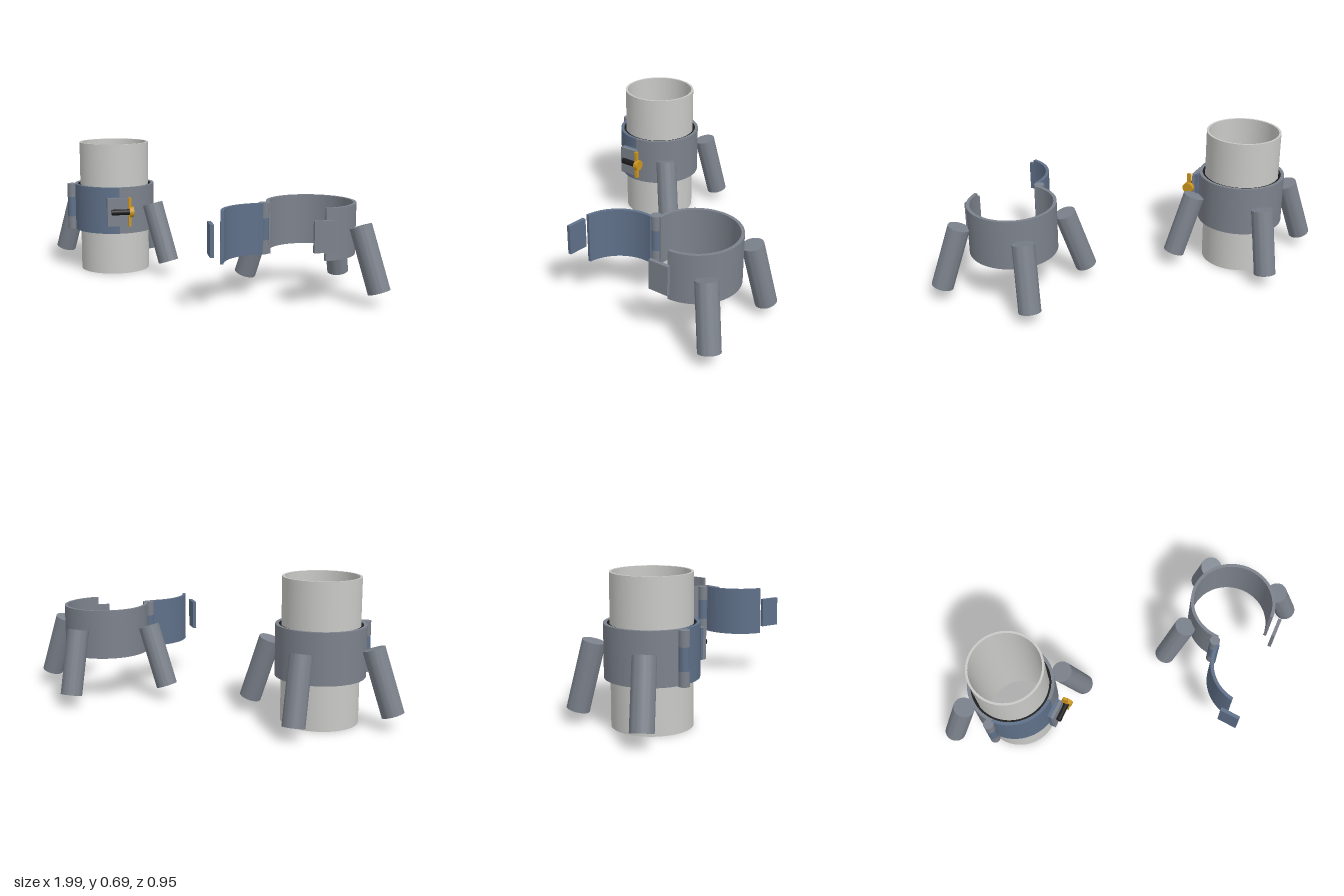
import * as THREE from 'three';
import { toCreasedNormals } from 'three/addons/utils/BufferGeometryUtils.js';

const mat = (name, color, side = THREE.FrontSide) =>
  Object.assign(new THREE.MeshStandardMaterial({ color, side }), { name });
const steel = mat('steel grey', 0x7c828c);
const blue = mat('door blue', 0x5f7089);
const pale = mat('pipe grey', 0xc9c9c7);
const black = mat('rubber black', 0x1b1b1b);
const gold = mat('brass', 0xcc961f);

const RO = 0.213, RI = 0.197, Y0 = 0.222, Y1 = 0.467, MID = 0.344;
const HINGE = new THREE.Vector3(-0.167, 0, 0.157);
const deg = Math.PI / 180;

function add(parent, name, geometry, material, x = 0, y = 0, z = 0) {
  const mesh = new THREE.Mesh(geometry, material);
  mesh.name = name;
  mesh.position.set(x, y, z);
  parent.add(mesh);
  return mesh;
}

// Curved band between two angles, standing on its base
function band(ri, ro, a0, a1, height) {
  const shape = new THREE.Shape();
  shape.absarc(0, 0, ro, a0 * deg, a1 * deg, false);
  shape.absarc(0, 0, ri, a1 * deg, a0 * deg, true);
  shape.closePath();
  const g = new THREE.ExtrudeGeometry(shape, { depth: height, bevelEnabled: false, curveSegments: 48 });
  g.rotateX(-Math.PI / 2);
  return toCreasedNormals(g, 0.6);
}

// Revolved profile with crisp corners
function turned(points, segments = 40) {
  const g = new THREE.LatheGeometry(points.map(p => new THREE.Vector2(...p)), segments);
  return toCreasedNormals(g, 0.6);
}

const ring = (ri, ro, y0, y1) => turned([[ri, y1], [ri, y0], [ro, y0], [ro, y1], [ri, y1]], 64);

// Splayed tube, open at the lower end; heading is the outward direction
function addLeg(parent, name, heading, top, bottom) {
  const t = new THREE.Vector3(heading[0] * top[0], top[1], heading[1] * top[0]);
  const b = new THREE.Vector3(heading[0] * bottom[0], bottom[1], heading[1] * bottom[0]);
  const h = t.distanceTo(b), r = 0.053, ri = 0.038;
  const g = turned([[0, h - 0.015], [ri, h - 0.015], [ri, 0], [r, 0], [r, h], [0, h]], 32);
  const leg = add(parent, name, g, steel, b.x, b.y, b.z);
  leg.quaternion.setFromUnitVectors(new THREE.Vector3(0, 1, 0), t.sub(b).normalize());
}

function addPlate(parent, name, material, x, z, angle) {
  add(parent, name, new THREE.BoxGeometry(0.1, 0.147, 0.018), material, x, MID, z).rotation.y = angle * deg;
}

// Collar with three legs and a hinged door
function makeClamp(name, doorAngle, platePose) {
  const clamp = new THREE.Group();
  clamp.name = name;
  add(clamp, 'collar', band(RI, RO, -45, 225, Y1 - Y0), steel, 0, Y0, 0);
  addLeg(clamp, 'rightLeg', [-1, 0], [0.255, 0.372], [0.356, 0.071]);
  addLeg(clamp, 'leftLeg', [1, 0], [0.255, 0.372], [0.356, 0.071]);
  addLeg(clamp, 'backLeg', [0, -1], [0.258, 0.375], [0.336, 0.06]);
  addPlate(clamp, 'collarLatchPlate', steel, 0.162, 0.189, 45);

  // Hinge knuckles
  for (const [part, a, b, m] of [['lowerKnuckle', Y0, 0.29, steel],
    ['middleKnuckle', 0.29, 0.395, blue], ['upperKnuckle', 0.395, Y1, steel]]) {
    add(clamp, part, new THREE.CylinderGeometry(0.025, 0.025, b - a, 24), m, HINGE.x, (a + b) / 2, HINGE.z);
  }

  // Door swings about the hinge
  const door = new THREE.Group();
  door.name = 'door';
  door.position.copy(HINGE);
  door.rotation.y = doorAngle * deg;
  add(door, 'doorPanel', band(RI, RO, -135, -45, Y1 - Y0), blue, -HINGE.x, Y0, -HINGE.z);
  const [px, pz, pa] = platePose;
  addPlate(door, 'doorLatchPlate', blue, px - HINGE.x, pz - HINGE.z, pa);
  clamp.add(door);
  return clamp;
}

export function createModel() {
  const model = new THREE.Group();
  model.name = 'pipeClamps';

  // Closed clamp around its pipe
  const closed = makeClamp('closedClamp', 0, [0.152, 0.179, 45]);
  closed.position.set(-0.59, 0, -0.085);
  add(closed, 'pipe', ring(0.173, 0.184, 0, 0.69), pale);
  add(closed, 'liner', ring(0.187, 0.1965, Y0 + 0.003, Y1 - 0.003), black);

  // Bolt and wing nut, lying along the latch plate
  const bolt = new THREE.Group();
  bolt.name = 'latchBolt';
  bolt.position.set(0.189, MID + 0.002, 0.189);
  bolt.rotation.y = 45 * deg;
  const along = (r, l) => new THREE.CylinderGeometry(r, r, l, 20).rotateZ(Math.PI / 2);
  add(bolt, 'boltShank', along(0.015, 0.1), black, 0.002);
  add(bolt, 'nutHub', along(0.028, 0.022), gold, 0.055);
  for (const s of [1, -1]) {
    add(bolt, 'nutWing', new THREE.BoxGeometry(0.014, 0.058, 0.02), gold, 0.046, s * 0.046, 0);
  }
  closed.add(bolt);
  model.add(closed);

  // Open clamp
  const open = makeClamp('openClamp', -100, [0.201, 0.164, 50]);
  open.position.set(0.59, 0, -0.085);
  model.add(open);
  return model;
}
